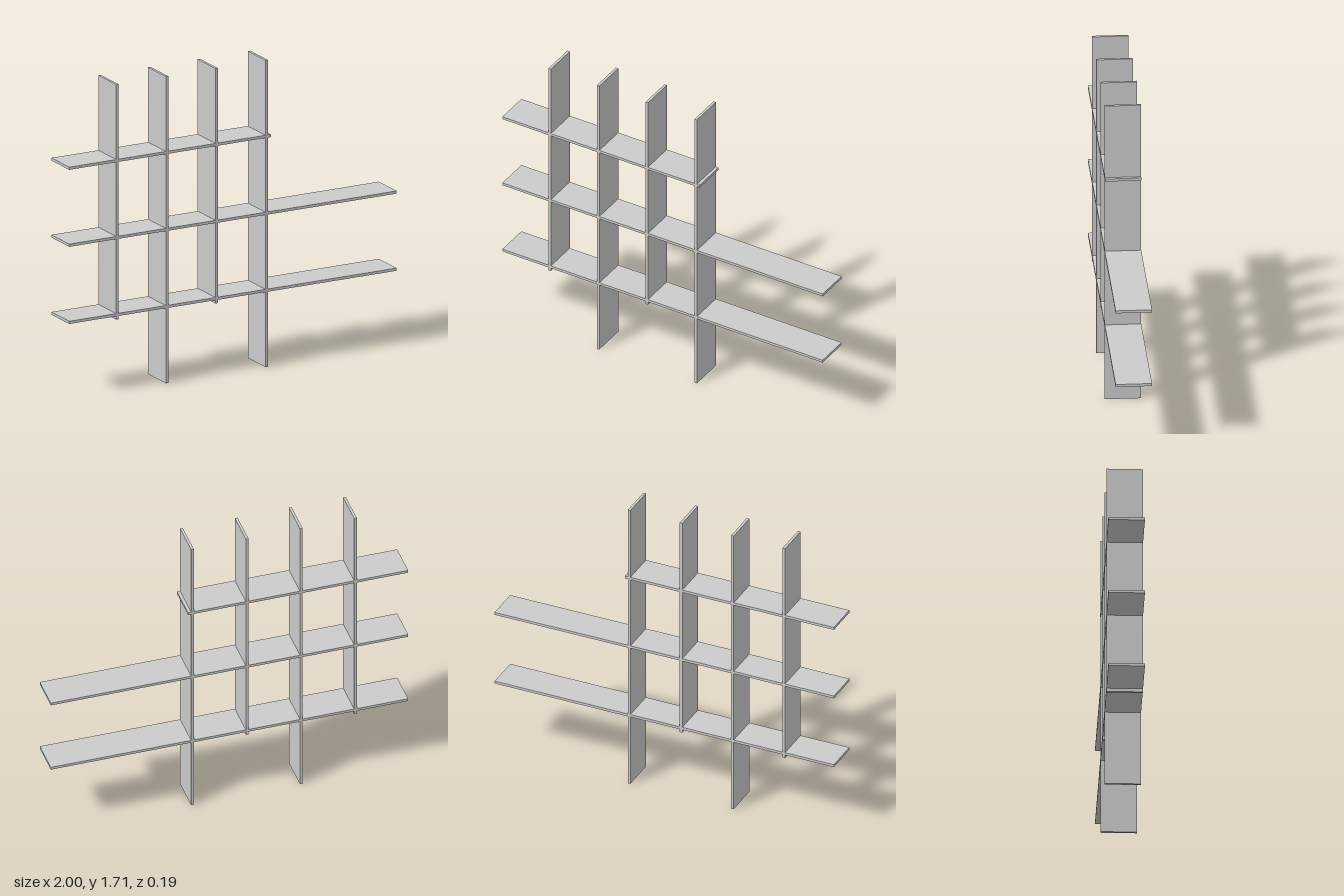
import * as THREE from 'three';

const T = 0.015;      // board thickness
const H = 0.0975;     // half of the board depth

// Flat board from a to b, with half-depth slots on one edge for the crossing boards
function slottedBoard(a, b, slots) {
  const s = new THREE.Shape();
  s.moveTo(a, -H);
  s.lineTo(b, -H);
  s.lineTo(b, H);
  for (const c of [...slots].sort((p, q) => q - p)) {
    s.lineTo(c + T / 2, H);
    s.lineTo(c + T / 2, 0);
    s.lineTo(c - T / 2, 0);
    s.lineTo(c - T / 2, H);
  }
  s.lineTo(a, H);
  s.closePath();
  return new THREE.ExtrudeGeometry(s, { depth: T, bevelEnabled: false }).translate(0, 0, -T / 2);
}

export function createModel() {
  const group = new THREE.Group();
  const material = new THREE.MeshStandardMaterial({ color: 0xcccccc });
  const X = new THREE.Vector3(1, 0, 0);
  const Y = new THREE.Vector3(0, 1, 0);
  const Z = new THREE.Vector3(0, 0, 1);

  const shelves = [ // height and right-hand end
    { y: 0.426, end: 1 },
    { y: 0.856, end: 1 },
    { y: 1.285, end: 0.232 },
  ];
  const uprights = [ // position and lower end
    { x: -0.705, foot: 0.4 },
    { x: -0.402, foot: 0 },
    { x: -0.099, foot: 0.4 },
    { x: 0.207, foot: 0 },
  ];

  // Shelves, slotted from the front
  const flat = new THREE.Matrix4().makeBasis(X, Z, Y.clone().negate());
  shelves.forEach(({ y, end }, i) => {
    const geo = slottedBoard(-1, end, uprights.map((u) => u.x)).applyMatrix4(flat);
    const mesh = new THREE.Mesh(geo, material);
    mesh.name = `shelf${i + 1}`;
    mesh.position.y = y;
    group.add(mesh);
  });

  // Uprights, slotted from the back to interlock with the shelves
  const upright = new THREE.Matrix4().makeBasis(Y, Z.clone().negate(), X.clone().negate());
  uprights.forEach(({ x, foot }, i) => {
    const geo = slottedBoard(foot, 1.71, shelves.map((s) => s.y)).applyMatrix4(upright);
    const mesh = new THREE.Mesh(geo, material);
    mesh.name = `upright${i + 1}`;
    mesh.position.x = x;
    group.add(mesh);
  });

  return group;
}
